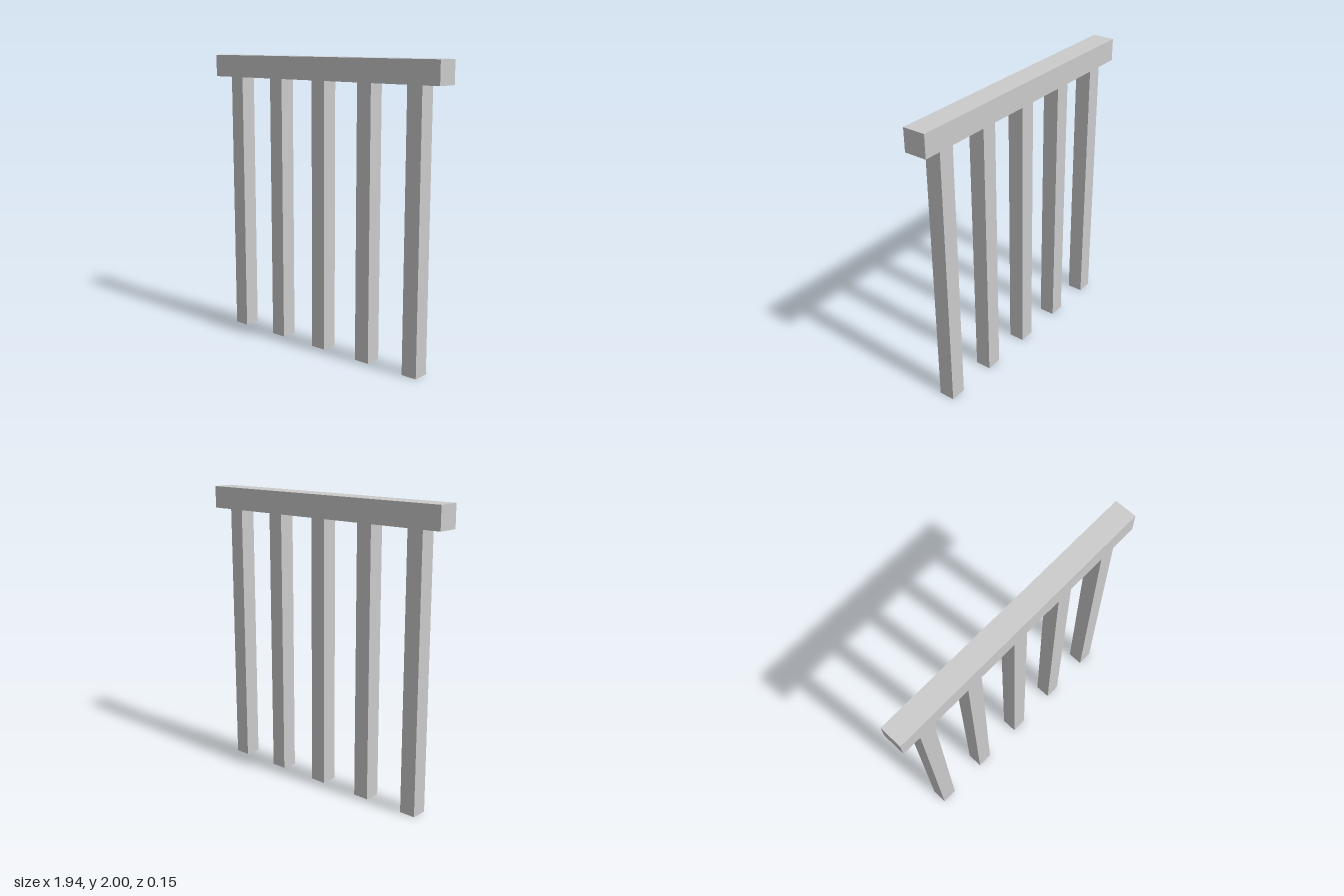
import * as THREE from 'three';

export function createModel() {
  const group = new THREE.Group();
  const material = new THREE.MeshStandardMaterial({ color: 0xcccccc, flatShading: true });

  const railLength = 1.944, railSize = 0.153;
  const postSize = 0.111, postHeight = 2 - railSize;
  const postCount = 5, postSpacing = 0.389;

  // Top rail
  const rail = new THREE.Mesh(new THREE.BoxGeometry(railLength, railSize, railSize), material);
  rail.name = 'topRail';
  rail.position.y = 2 - railSize / 2;
  group.add(rail);

  // Evenly spaced square posts under the rail
  const postGeometry = new THREE.BoxGeometry(postSize, postHeight, postSize);
  for (let i = 0; i < postCount; i++) {
    const post = new THREE.Mesh(postGeometry, material);
    post.name = `post${i + 1}`;
    post.position.set((i - (postCount - 1) / 2) * postSpacing, postHeight / 2, 0);
    group.add(post);
  }

  return group;
}
